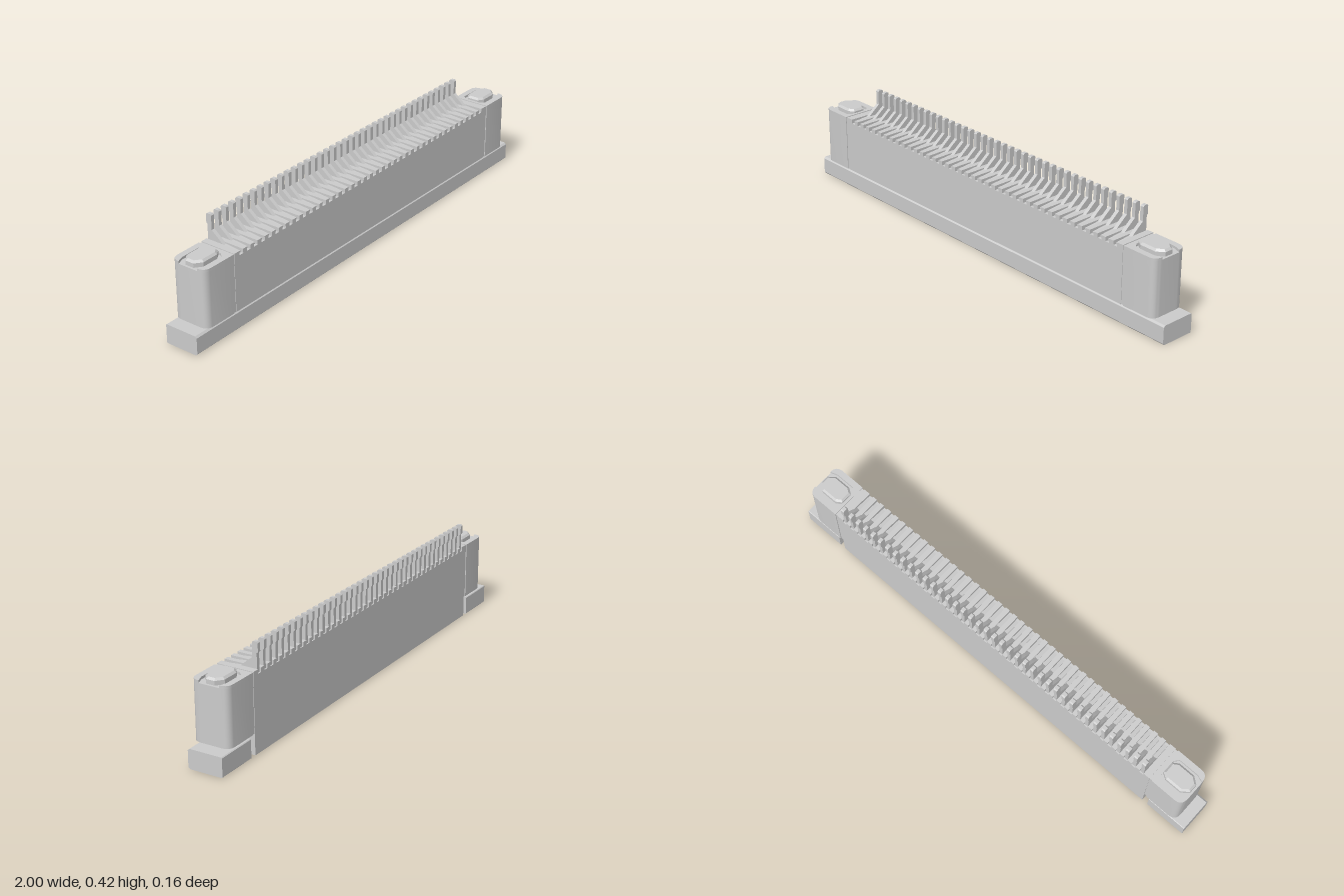
import * as THREE from 'three';
import { toCreasedNormals } from 'three/addons/utils/BufferGeometryUtils.js';

const PINS = 40, PITCH = 0.0391, SLOT = 0.019;
const material = new THREE.MeshStandardMaterial({ color: 0xcccccc });

const toShape = (pts) => new THREE.Shape(pts.map(([x, y]) => new THREE.Vector2(x, y)));

export function createModel() {
  const model = new THREE.Group();

  const add = (name, geometry, parent = model) => {
    const mesh = new THREE.Mesh(geometry, material);
    mesh.name = name;
    parent.add(mesh);
    return mesh;
  };
  const box = (name, x0, x1, y0, y1, z0, z1, parent) => {
    const g = new THREE.BoxGeometry(x1 - x0, y1 - y0, z1 - z0);
    g.translate((x0 + x1) / 2, (y0 + y1) / 2, (z0 + z1) / 2);
    return add(name, g, parent);
  };
  // Side profile of [z, y] points swept from x0 to x1
  const sweepX = (pts, x0, x1) => {
    const g = new THREE.ExtrudeGeometry(toShape(pts), { depth: x1 - x0, bevelEnabled: false });
    g.translate(0, 0, -(x1 - x0) / 2);
    g.rotateY(-Math.PI / 2);
    g.translate((x0 + x1) / 2, 0, 0);
    return g;
  };
  // Plan shape of [x, z] raised from y0 to y1
  const raiseY = (shape, y0, y1) => {
    const g = new THREE.ExtrudeGeometry(shape, { depth: y1 - y0, bevelEnabled: false, curveSegments: 8 });
    g.rotateX(-Math.PI / 2);
    g.translate(0, y0, 0);
    return toCreasedNormals(g, 0.5);
  };

  // Housing: long back wall, shorter front wall, cable cavity between
  add('housing', sweepX([
    [-0.077, 0.003], [-0.047, 0.003], [-0.04, 0.015], [-0.04, 0.25],
    [0.05, 0.25], [0.05, 0.087], [0.077, 0.087], [0.077, 0.305], [-0.077, 0.305],
  ], -0.8, 0.8));

  // Comb on top of the housing, one slot per contact
  const comb = new THREE.Group();
  comb.name = 'comb';
  model.add(comb);
  const pinX = (i) => (i - (PINS - 1) / 2) * PITCH;
  for (let i = 0; i <= PINS; i++) {
    const x0 = i === 0 ? -0.8 : pinX(i - 1) + SLOT / 2;
    const x1 = i === PINS ? 0.8 : pinX(i) - SLOT / 2;
    box('combTooth', x0, x1, 0.305, 0.322, -0.077, 0.077, comb);
  }
  box('combSpine', -0.77, 0.77, 0.305, 0.315, -0.012, 0.012, comb);

  // Contacts: upright tail, sloped foot, arm in the slot, beam in the cavity
  const contacts = new THREE.Group();
  contacts.name = 'contacts';
  model.add(contacts);
  const pinGeometry = sweepX([
    [-0.072, 0.3], [0.065, 0.3], [0.065, 0.312], [0.0, 0.318], [-0.022, 0.337],
    [-0.053, 0.362], [-0.053, 0.418], [-0.058, 0.423], [-0.072, 0.423],
    [-0.077, 0.418], [-0.077, 0.385], [-0.072, 0.38],
  ], -0.0075, 0.0075);
  const beamGeometry = sweepX([
    [-0.04, 0.25], [-0.04, 0.09], [-0.032, 0.075], [-0.022, 0.09], [-0.028, 0.25],
  ], -0.0075, 0.0075);
  for (let i = 0; i < PINS; i++) {
    add('contact', pinGeometry, contacts).position.x = pinX(i);
    add('contactBeam', beamGeometry, contacts).position.x = pinX(i);
  }

  // End blocks, the second being the first turned half a turn
  const R = 0.035, X0 = 0.812, X1 = 0.955, Z = 0.078;
  const plan = new THREE.Shape();
  plan.moveTo(X0, -Z);
  plan.lineTo(X1 - R, -Z);
  plan.quadraticCurveTo(X1, -Z, X1, -Z + R);
  plan.lineTo(X1, Z - R);
  plan.quadraticCurveTo(X1, Z, X1 - R, Z);
  plan.lineTo(X0, Z);
  // Raised rim, open towards the outer end
  const rim = new THREE.Shape();
  rim.moveTo(X0, -Z);
  rim.lineTo(X1 - R, -Z);
  rim.quadraticCurveTo(X1, -Z, X1, -Z + R);
  [[0.925, -0.053], [0.84, -0.053], [0.824, -0.035], [0.824, 0.035],
    [0.84, 0.053], [0.925, 0.053], [X1, Z - R]].forEach(([x, z]) => rim.lineTo(x, z));
  rim.quadraticCurveTo(X1, Z, X1 - R, Z);
  rim.lineTo(X0, Z);
  // Six-sided lock boss with sloped edges
  const boss = toShape([[0.832, -0.02], [0.85, -0.032], [0.915, -0.032],
    [0.938, -0.014], [0.938, 0.014], [0.915, 0.032], [0.85, 0.032], [0.832, 0.02]]);
  const bossGeometry = new THREE.ExtrudeGeometry(boss, {
    depth: 0.018, bevelThickness: 0.008, bevelSize: 0.008, bevelSegments: 1,
  });
  bossGeometry.rotateX(-Math.PI / 2);
  bossGeometry.translate(0, 0.311, 0);

  for (const turn of [0, Math.PI]) {
    const end = new THREE.Group();
    end.name = turn ? 'rightEnd' : 'leftEnd';
    end.rotation.y = turn;
    model.add(end);
    add('endBlock', raiseY(plan, 0.087, 0.312), end);
    add('endRim', raiseY(rim, 0.312, 0.322), end);
    add('lockBoss', bossGeometry, end);
    box('seam', 0.799, 0.813, 0.087, 0.319, -0.075, 0.075, end);
    box('sliderNeck', 0.87, 0.93, 0.07, 0.09, -0.028, 0.028, end);
  }

  // Slider: front bar with a tongue into the cavity, full-depth ends
  add('sliderBar', sweepX([
    [0.0, 0.006], [0.006, 0], [0.06, 0], [0.067, 0.007], [0.067, 0.071],
    [0.06, 0.078], [0.035, 0.078], [0.035, 0.2], [0.01, 0.2], [0.01, 0.05], [0, 0.035],
  ], -0.825, 0.825));
  const endProfile = [[-0.077, 0.003], [-0.074, 0], [0.06, 0], [0.067, 0.007],
    [0.067, 0.071], [0.06, 0.078], [-0.074, 0.078], [-0.077, 0.075]];
  add('sliderLeftEnd', sweepX(endProfile, 0.825, 1));
  add('sliderRightEnd', sweepX(endProfile, -1, -0.825));

  return model;
}
